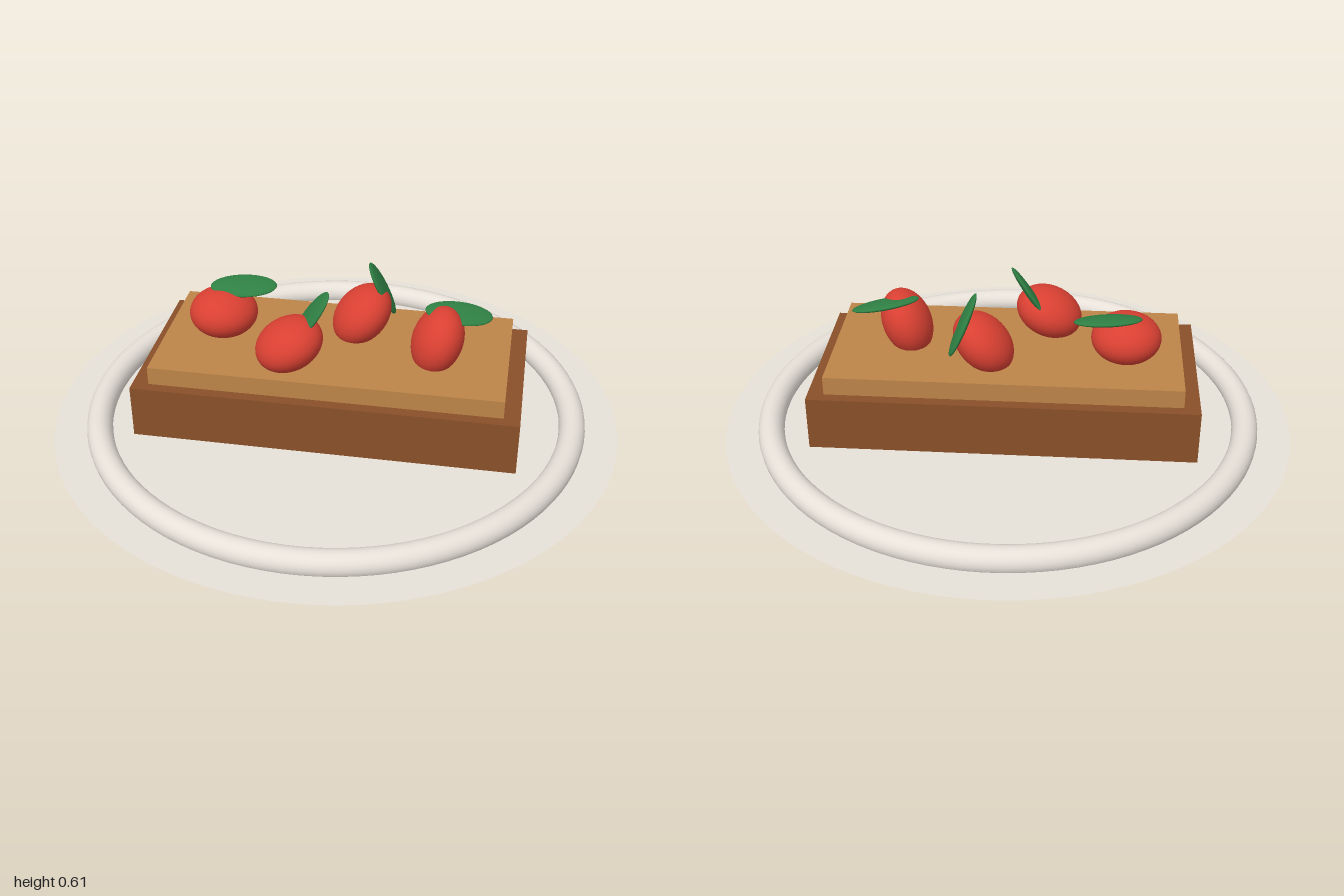
import * as THREE from 'three';

export function createModel() {
  const model = new THREE.Group();

  const material = (color) => new THREE.MeshStandardMaterial({ color });
  const china = material(0xe6e0d8);
  const sponge = material(0x8a5029);
  const glaze = material(0xbd8548);
  const red = material(0xd94032);
  const green = material(0x2f8044);

  const add = (parent, name, geometry, mat, x, y, z) => {
    const mesh = new THREE.Mesh(geometry, mat);
    mesh.name = name;
    mesh.position.set(x, y, z);
    parent.add(mesh);
    return mesh;
  };

  // Plate with a raised ring
  add(model, 'plate', new THREE.CylinderGeometry(1, 0.92, 0.07, 96), china, 0, 0.035, 0);
  const ring = new THREE.TorusGeometry(0.84, 0.045, 20, 96).rotateX(Math.PI / 2);
  add(model, 'plateRing', ring, china, 0, 0.09, 0);

  // Two-layer cake slice, turned a little on the plate
  const cake = new THREE.Group();
  cake.name = 'cake';
  cake.rotation.y = -0.18;
  model.add(cake);
  add(cake, 'cakeBase', new THREE.BoxGeometry(1.315, 0.19, 0.615), sponge, 0, 0.195, 0);
  add(cake, 'cakeTopping', new THREE.BoxGeometry(1.205, 0.065, 0.54), glaze, 0, 0.322, 0);

  // Berries, each tipped further than the last, with a leaf on top
  const berryShape = new THREE.SphereGeometry(1, 40, 28).scale(0.12, 0.085, 0.12);
  const leafShape = new THREE.SphereGeometry(1, 32, 20).scale(0.117, 0.014, 0.06);
  const spots = [[-0.395, -0.11], [-0.16, 0.11], [0.093, -0.087], [0.345, 0.09]];
  spots.forEach(([x, z], i) => {
    const fruit = new THREE.Group();
    fruit.name = 'fruit' + (i + 1);
    fruit.position.set(x, 0.42, z);
    model.add(fruit);
    add(fruit, 'berry', berryShape, red, 0, 0, 0).rotation.z = 0.4 * i;
    add(fruit, 'leaf', leafShape, green, 0.072, 0.085, -0.03).rotation.set(0.2, 0, i);
  });

  return model;
}
